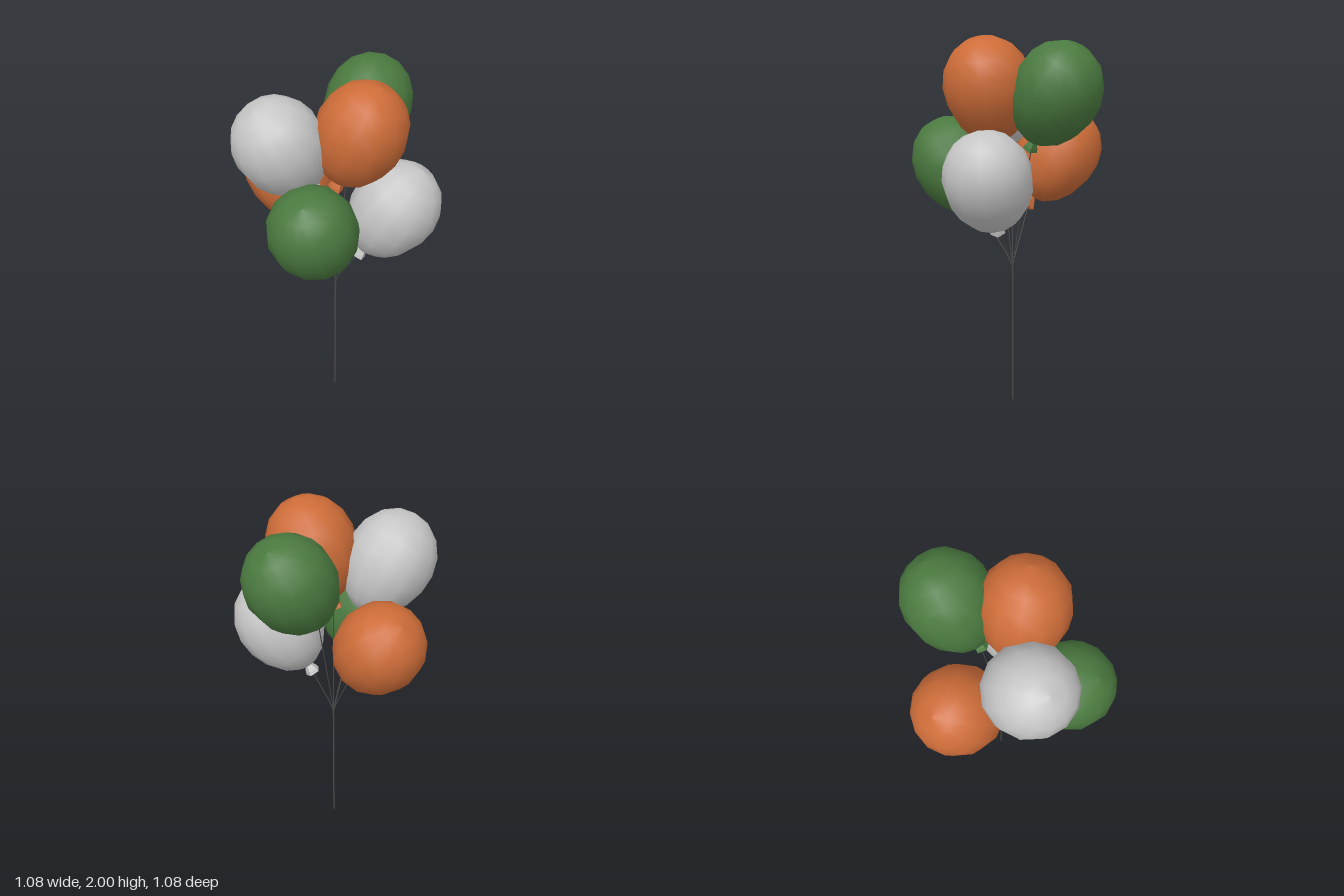
import * as THREE from 'three';

function mat(name, color) {
  const m = new THREE.MeshStandardMaterial({ color });
  m.name = name;
  return m;
}

export function createModel() {
  const group = new THREE.Group();
  const orange = mat('orange', 0xcd6c38);
  const green = mat('green', 0x4a793f);
  const white = mat('lightGrey', 0xc6c6c6);
  const dark = mat('stringGrey', 0x4a4a4a);

  // Egg-shaped balloon, fuller towards the top
  const R = 0.228, H = 0.28, rows = 9;
  const profile = [];
  for (let i = 0; i <= rows; i++) {
    const a = Math.PI * i / rows, c = -Math.cos(a);
    profile.push(new THREE.Vector2(Math.max(0, R * Math.sin(a) * (1 + 0.09 * c)), H * c));
  }
  const bodyGeo = new THREE.LatheGeometry(profile, 13);

  // Flared five-sided knot with a hollow end
  const knotGeo = new THREE.LatheGeometry([
    new THREE.Vector2(0, -0.315), new THREE.Vector2(0.042, -0.338),
    new THREE.Vector2(0.036, -0.318), new THREE.Vector2(0.012, -0.27),
  ], 5).toNonIndexed();
  knotGeo.computeVertexNormals();

  // Each balloon: centre and the point its knot faces
  const gather = new THREE.Vector3(0.032, 0.76, -0.012);
  const balloons = [
    ['leftBalloon', orange, [-0.29, 1.355, 0.02], [-0.08, 1.08, 0.02]],
    ['lowerFrontBalloon', green, [0.185, 1.30, 0.295], [0.105, 1.01, 0.125]],
    ['rightBalloon', white, [0.29, 1.28, -0.165], [0.158, 0.99, -0.055]],
    ['upperFrontBalloon', white, [-0.07, 1.665, 0.26], [-0.04, 1.37, 0.08]],
    ['backBalloon', green, [-0.025, 1.71, -0.295], [0.0, 1.42, -0.12]],
    ['topBalloon', orange, [0.185, 1.725, -0.018], [0.085, 1.42, 0.04]],
  ];
  const up = new THREE.Vector3(0, 1, 0);

  for (const [name, material, c, k] of balloons) {
    const centre = new THREE.Vector3(...c);
    const axis = centre.clone().sub(new THREE.Vector3(...k)).normalize();

    const balloon = new THREE.Group();
    balloon.name = name;
    balloon.position.copy(centre);
    balloon.quaternion.setFromUnitVectors(up, axis);
    const body = new THREE.Mesh(bodyGeo, material);
    body.name = 'balloonBody';
    const knot = new THREE.Mesh(knotGeo, material);
    knot.name = 'knot';
    balloon.add(body, knot);
    group.add(balloon);

    // String from the knot, easing into the gathered stem
    const start = centre.clone().addScaledVector(axis, -0.31);
    const bend = gather.clone().lerp(start, 0.12);
    bend.y += 0.02;
    const path = new THREE.CatmullRomCurve3([start, start.clone().lerp(bend, 0.5), bend, gather]);
    const string = new THREE.Mesh(new THREE.TubeGeometry(path, 10, 0.003, 5), dark);
    string.name = name + 'String';
    group.add(string);
  }

  // Gathered strings hanging to the ground
  const stem = new THREE.Mesh(new THREE.CylinderGeometry(0.005, 0.005, 0.78, 6), dark);
  stem.name = 'stringBundle';
  stem.position.set(gather.x, 0.39, gather.z);
  group.add(stem);

  return group;
}
